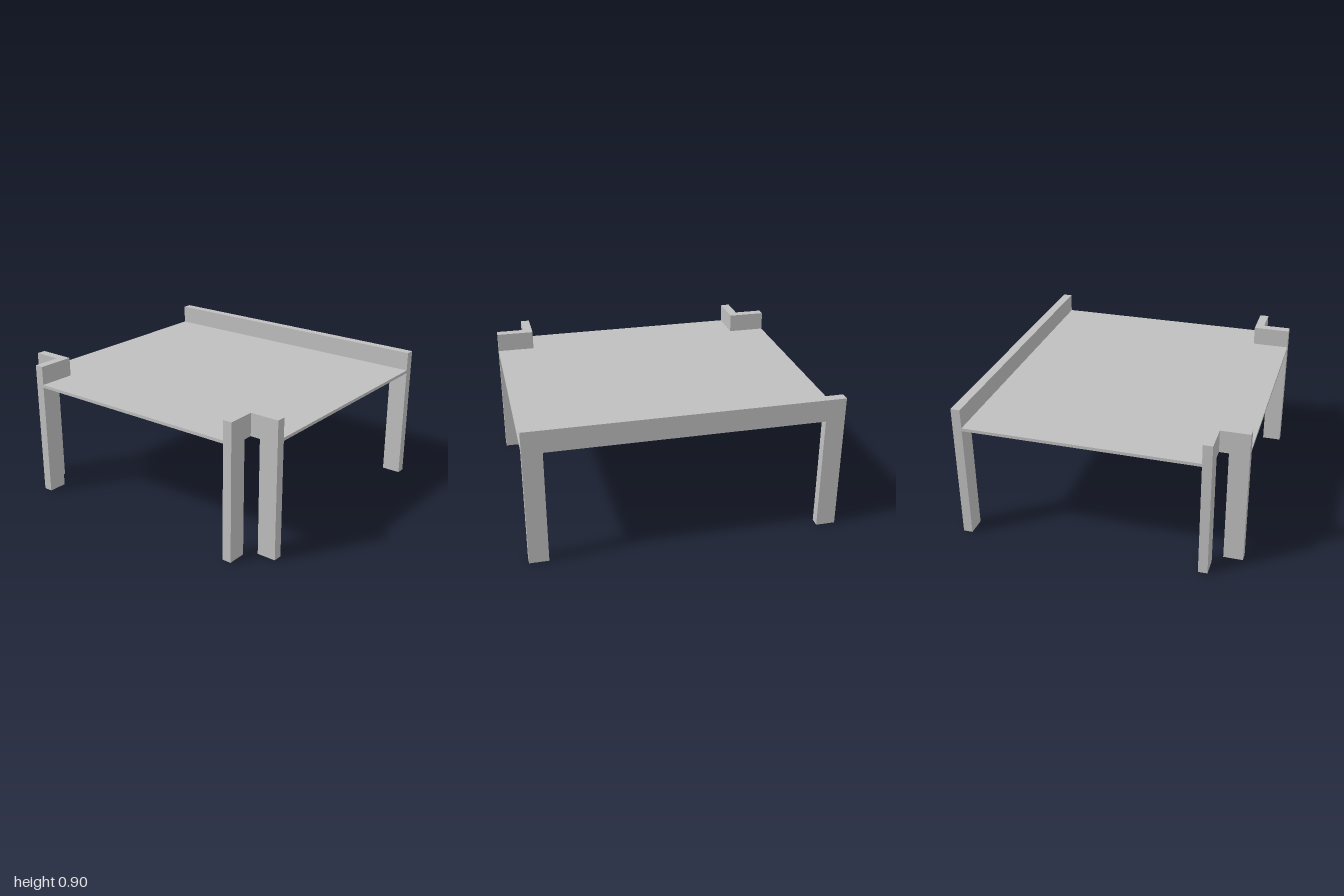
import * as THREE from 'three';

const LEG = 0.125;      // leg width
const UNDER = 0.755;    // underside of rails and top
const TOP = 0.9;        // top of rails
const SIDE = 0.905;     // half width in x

const outline = (points) => new THREE.Shape(points.map(([a, b]) => new THREE.Vector2(a, b)));

const extrude = (points, depth) =>
  new THREE.ExtrudeGeometry(outline(points), { depth, bevelEnabled: false });

// Profile in z-y, given thickness along x, ending at xMax
const acrossX = (points, xMin, xMax) =>
  extrude(points, xMax - xMin).rotateY(-Math.PI / 2).translate(xMax, 0, 0);

export function createModel() {
  const group = new THREE.Group();
  group.name = 'table';
  const grey = new THREE.MeshStandardMaterial({ color: 0xbfbfbf });
  grey.name = 'grey';

  const add = (name, geometry, parent = group) => {
    const mesh = new THREE.Mesh(geometry, grey);
    mesh.name = name;
    parent.add(mesh);
  };

  // Table top with the two corners notched around the brackets
  add('tableTop', extrude([
    [-SIDE, -0.75], [-0.66, -0.75], [-0.66, -1], [0.845, -1],
    [0.845, 1], [-0.66, 1], [-0.66, 0.75], [-SIDE, 0.75],
  ], 0.02).rotateX(Math.PI / 2).translate(0, UNDER + 0.02, 0));

  // Long portal frame: rail and two legs in one piece
  add('portalFrame', acrossX([
    [-1, 0], [-1 + LEG, 0], [-1 + LEG, UNDER], [1 - LEG, UNDER],
    [1 - LEG, 0], [1, 0], [1, TOP], [-1, TOP],
  ], 0.845, SIDE));

  // Two angled corner brackets, each with a pair of legs
  for (const s of [1, -1]) {
    const bracket = new THREE.Group();
    bracket.name = s > 0 ? 'frontCornerBracket' : 'backCornerBracket';
    group.add(bracket);

    add('sideArmAndLeg', extrude([
      [-SIDE, 0], [-SIDE + LEG, 0], [-SIDE + LEG, UNDER],
      [-0.66, UNDER], [-0.66, TOP], [-SIDE, TOP],
    ], 0.06).translate(0, 0, s > 0 ? 0.75 : -0.81), bracket);

    add('endArmAndLeg', acrossX([
      [s, 0], [s * (1 - LEG), 0], [s * (1 - LEG), UNDER],
      [s * 0.81, UNDER], [s * 0.81, TOP], [s, TOP],
    ], -0.72, -0.66), bracket);
  }

  return group;
}
